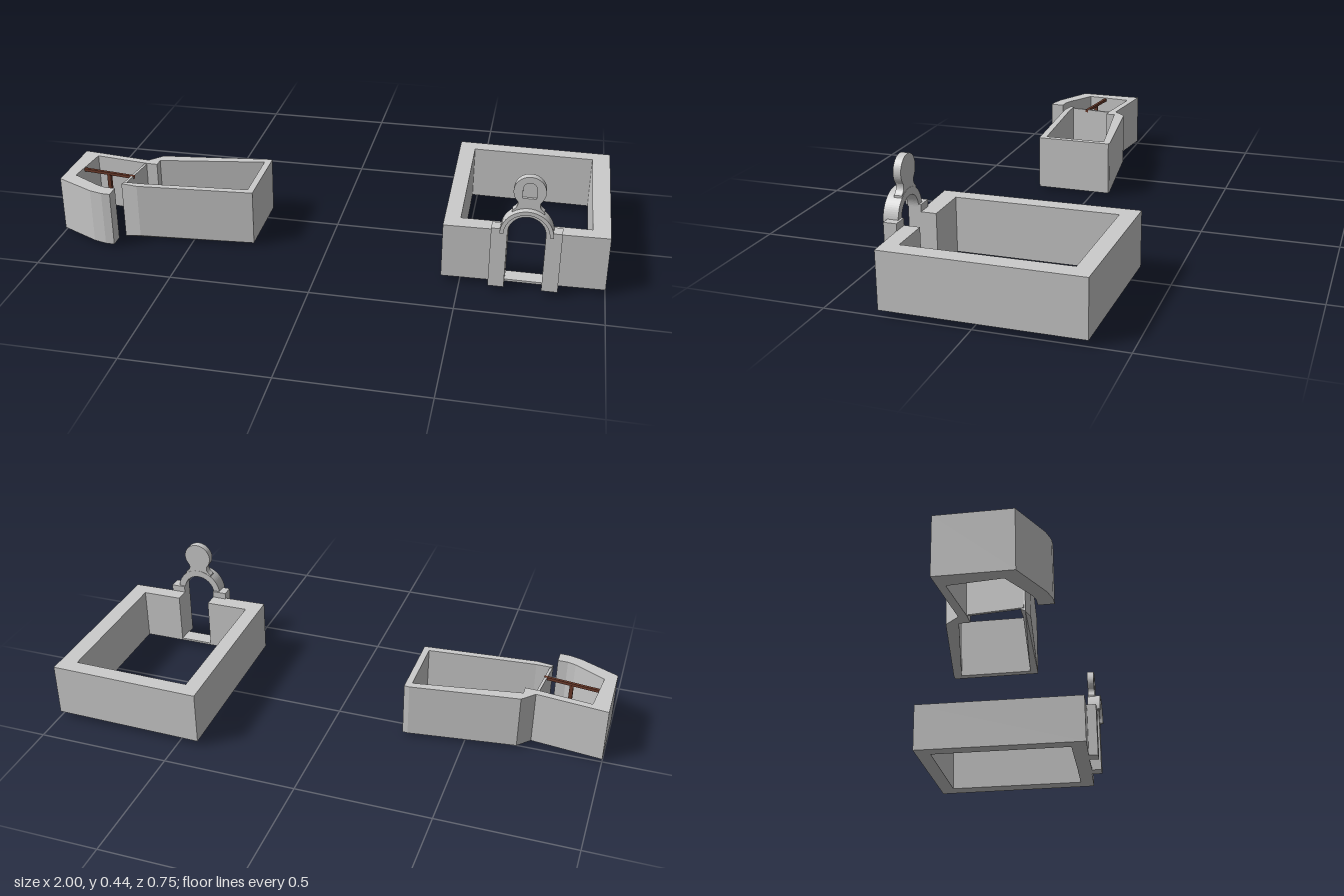
import * as THREE from 'three';

const grey = new THREE.MeshStandardMaterial({ color: 0xcccccc, flatShading: true });
const smoothGrey = new THREE.MeshStandardMaterial({ color: 0xcccccc });
const wood = new THREE.MeshStandardMaterial({ color: 0x6b3a2a, flatShading: true });

function mesh(name, geometry, material = grey) {
  const m = new THREE.Mesh(geometry, material);
  m.name = name;
  return m;
}

// Box given by its limits on each axis
function box(name, [x0, x1], [y0, y1], [z0, z1], material) {
  const g = new THREE.BoxGeometry(x1 - x0, y1 - y0, z1 - z0);
  g.translate((x0 + x1) / 2, (y0 + y1) / 2, (z0 + z1) / 2);
  return mesh(name, g, material);
}

// Wall raised from a floor plan of [x, z] corners
function planWall(plan, y0, y1) {
  const shape = new THREE.Shape(plan.map(([x, z]) => new THREE.Vector2(x, -z)));
  const g = new THREE.ExtrudeGeometry(shape, { depth: y1 - y0, bevelEnabled: false });
  return g.rotateX(-Math.PI / 2).translate(0, y0, 0);
}

// Upright shape extruded between two depths
function upright(name, shape, z0, z1) {
  const g = new THREE.ExtrudeGeometry(shape, { depth: z1 - z0, bevelEnabled: false, curveSegments: 20 });
  return mesh(name, g.translate(0, 0, z0), smoothGrey);
}

// Straight bar between two points
function bar(name, a, b, size, material) {
  const from = new THREE.Vector3(...a), to = new THREE.Vector3(...b);
  const m = mesh(name, new THREE.BoxGeometry(size, size, from.distanceTo(to)), material);
  m.position.copy(from).lerp(to, 0.5);
  m.lookAt(to);
  return m;
}

const GATE_X = 0.72;
const ARCH_Y = 0.235;

function halfRing(inner, outer) {
  const s = new THREE.Shape();
  s.absarc(GATE_X, ARCH_Y, outer, 0, Math.PI, false);
  s.absarc(GATE_X, ARCH_Y, inner, Math.PI, 0, true);
  return s;
}

// Crest over the gate: flared foot, narrow neck and round head
function crestShape() {
  const s = new THREE.Shape();
  const cy = 0.387, r = 0.054, a = 0.78;
  const hx = r * Math.cos(a), hy = cy - r * Math.sin(a);
  s.moveTo(GATE_X - 0.054, 0.302);
  s.lineTo(GATE_X + 0.054, 0.302);
  s.lineTo(GATE_X + 0.054, 0.315);
  s.quadraticCurveTo(GATE_X + 0.032, 0.328, GATE_X + hx, hy);
  s.absarc(GATE_X, cy, r, -a, Math.PI + a, false);
  s.quadraticCurveTo(GATE_X - 0.032, 0.328, GATE_X - 0.054, 0.315);
  s.closePath();
  return s;
}

function createGate() {
  const gate = new THREE.Group();
  gate.name = 'gate';
  for (const side of [-1, 1]) {
    const xs = [GATE_X + side * 0.064, GATE_X + side * 0.119].sort((a, b) => a - b);
    gate.add(box(side < 0 ? 'rightPier' : 'leftPier', xs, [0.02, 0.245], [0.314, 0.36]));
  }
  gate.add(upright('innerArch', halfRing(0.064, 0.079), 0.322, 0.362));
  gate.add(upright('outerArch', halfRing(0.077, 0.09), 0.322, 0.375));

  // Crest with an arched niche sunk into its face
  const crest = crestShape();
  const niche = new THREE.Path();
  niche.moveTo(GATE_X - 0.023, 0.362);
  niche.lineTo(GATE_X + 0.023, 0.362);
  niche.absarc(GATE_X, 0.396, 0.023, 0, Math.PI, false);
  niche.closePath();
  gate.add(upright('crestBack', crest, 0.323, 0.34));
  const front = crestShape();
  front.holes.push(niche);
  gate.add(upright('crestFront', front, 0.34, 0.35));
  gate.add(box('threshold', [0.65, 0.79], [0.02, 0.028], [0.26, 0.32]));
  return gate;
}

function createCourtyard() {
  const court = new THREE.Group();
  court.name = 'gatedCourtyard';
  // Four walls in one loop, broken by the gateway
  const plan = [
    [0.656, 0.32], [0.435, 0.326], [0.424, -0.378], [1, -0.368], [1, 0.311], [0.784, 0.317],
    [0.784, 0.259], [0.938, 0.258], [0.934, -0.31], [0.484, -0.317], [0.49, 0.261], [0.656, 0.26],
  ];
  court.add(mesh('courtyardWalls', planWall(plan, 0.02, 0.22)), createGate());
  return court;
}

function createEnclosure() {
  const enclosure = new THREE.Group();
  enclosure.name = 'longEnclosure';
  // Outer face first, then back along the inner face
  const plan = [
    [-0.772, 0.336], [-0.805, 0.335], [-0.853, 0.322], [-1, 0.25], [-1, 0], [-0.735, 0.032],
    [-0.69, -0.016], [-0.29, -0.068], [-0.27, -0.066], [-0.27, 0.222], [-0.7, 0.254], [-0.762, 0.245],
    [-0.757, 0.229], [-0.7, 0.23], [-0.294, 0.198], [-0.294, -0.04], [-0.69, 0.026],
    [-0.69, 0.062], [-0.735, 0.06], [-0.938, 0.034], [-0.955, 0.21], [-0.84, 0.274],
    [-0.81, 0.284], [-0.772, 0.285],
  ];
  const walls = planWall(plan, 0.011, 0.217);
  // One foot of the wall end dips to the ground
  const p = walls.attributes.position;
  for (let i = 0; i < p.count; i++) {
    if (p.getY(i) < 0.05 && Math.hypot(p.getX(i) + 0.762, p.getZ(i) - 0.245) < 0.002) p.setY(i, 0);
  }
  enclosure.add(mesh('enclosureWalls', walls));

  // Thin wall between the two yards
  const partition = [[-0.762, 0.24], [-0.742, 0.058], [-0.732, 0.058], [-0.752, 0.24]];
  enclosure.add(mesh('partition', planWall(partition, 0.012, 0.213)));

  // Wooden beam with a short post below it
  enclosure.add(bar('beam', [-0.95, 0.208, 0.14], [-0.742, 0.208, 0.166], 0.011, wood));
  enclosure.add(box('post', [-0.853, -0.839], [0.1, 0.205], [0.146, 0.16], wood));
  return enclosure;
}

export function createModel() {
  const model = new THREE.Group();
  model.name = 'walledEnclosures';
  model.add(createCourtyard(), createEnclosure());
  return model;
}
